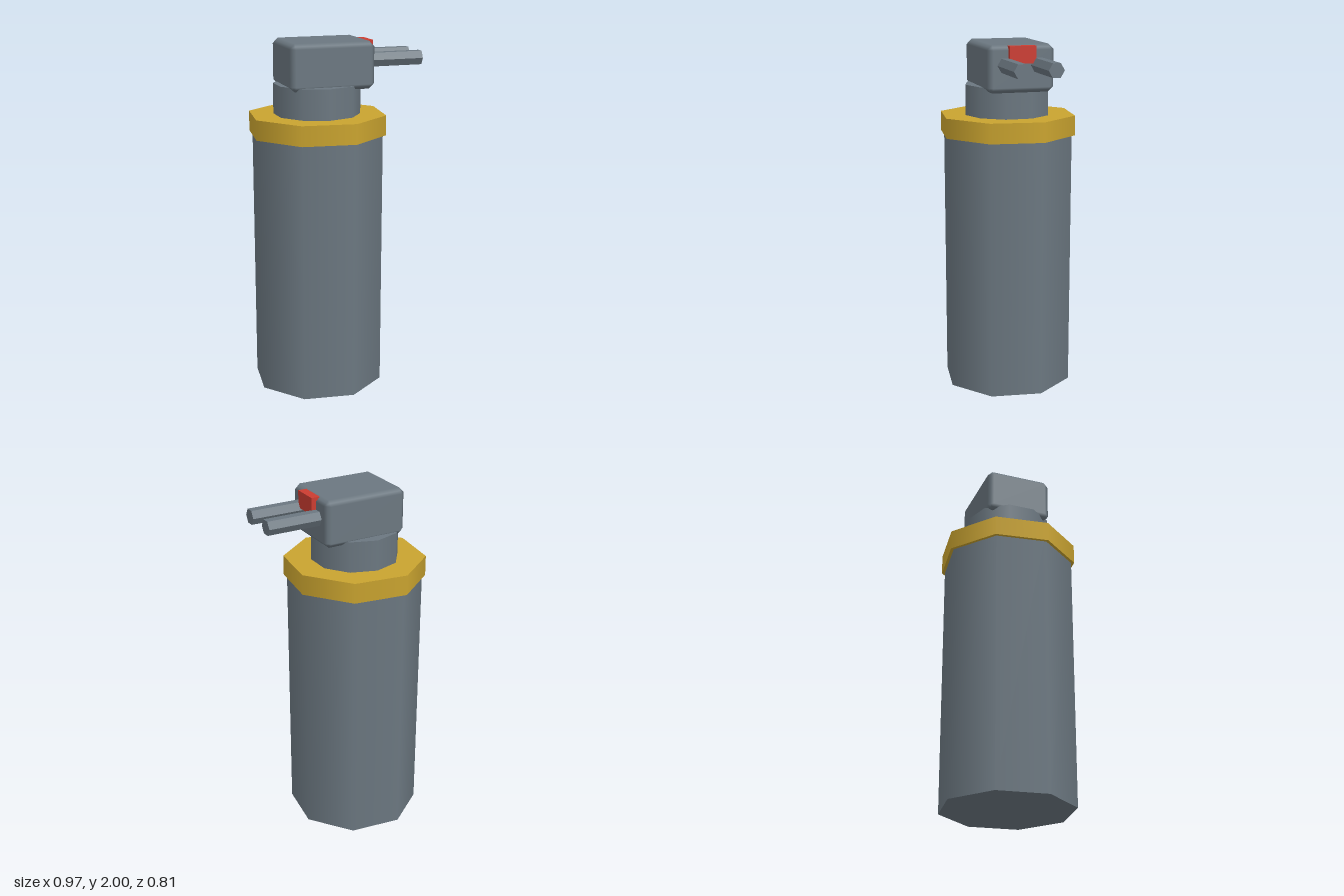
import * as THREE from 'three';
import { RoundedBoxGeometry } from 'three/addons/geometries/RoundedBoxGeometry.js';

const material = (name, color, flatShading = false) => {
  const m = new THREE.MeshStandardMaterial({ color, flatShading });
  m.name = name;
  return m;
};

// Box with a single 45 degree bevel and smooth normals
function bevelledBox(w, h, d, bevel) {
  const geo = new RoundedBoxGeometry(w, h, d, 1, bevel);
  const core = new THREE.Vector3(w / 2 - bevel, h / 2 - bevel, d / 2 - bevel);
  const pos = geo.attributes.position;
  const p = new THREE.Vector3();
  for (let i = 0; i < pos.count; i++) {
    p.fromBufferAttribute(pos, i);
    const inner = p.clone().clamp(core.clone().negate(), core);
    const out = p.sub(inner);
    out.multiplyScalar(bevel / (Math.abs(out.x) + Math.abs(out.y) + Math.abs(out.z)));
    inner.add(out);
    pos.setXYZ(i, inner.x, inner.y, inner.z);
  }
  return geo;
}

export function createModel() {
  const model = new THREE.Group();
  model.name = 'canister';
  const grey = material('grey metal', 0x6b7780);
  const yellow = material('yellow band', 0xc9a32f);
  const red = material('red marker', 0xcb3c31);

  const add = (parent, name, geo, mat, x, y, z) => {
    const mesh = new THREE.Mesh(geo, mat);
    mesh.name = name;
    mesh.position.set(x, y, z);
    parent.add(mesh);
    return mesh;
  };
  // Upright prism standing between two heights
  const prism = (parent, name, r, y0, y1, sides, mat) =>
    add(parent, name, new THREE.CylinderGeometry(r, r, y1 - y0, sides), mat, 0, (y0 + y1) / 2, 0);

  const assembly = new THREE.Group();
  assembly.name = 'assembly';
  assembly.position.set(-0.09, 0, 0.007);
  model.add(assembly);

  // Octagonal body and band
  prism(assembly, 'body', 0.377, 0, 1.55, 8, grey);
  prism(assembly, 'band', 0.395, 1.475, 1.588, 8, yellow);

  // Head turned to one side, with its neck
  const head = new THREE.Group();
  head.name = 'head';
  head.rotation.y = Math.PI / 6;
  assembly.add(head);
  prism(head, 'neck', 0.245, 1.57, 1.76, 10, grey);
  add(head, 'headBlock', bevelledBox(0.487, 0.262, 0.379, 0.029), grey, 0.0375, 1.869, 0);
  add(head, 'marker', new THREE.BoxGeometry(0.085, 0.095, 0.15), red, 0.263, 1.9475, 0);

  // Pair of hexagonal prongs
  const prong = new THREE.CylinderGeometry(0.044, 0.044, 0.36, 6).toNonIndexed();
  prong.computeVertexNormals();
  prong.rotateZ(-Math.PI / 2);
  for (const side of [-1, 1]) {
    add(head, side > 0 ? 'frontProng' : 'backProng', prong, grey, 0.404, 1.89, side * 0.094);
  }
  return model;
}
